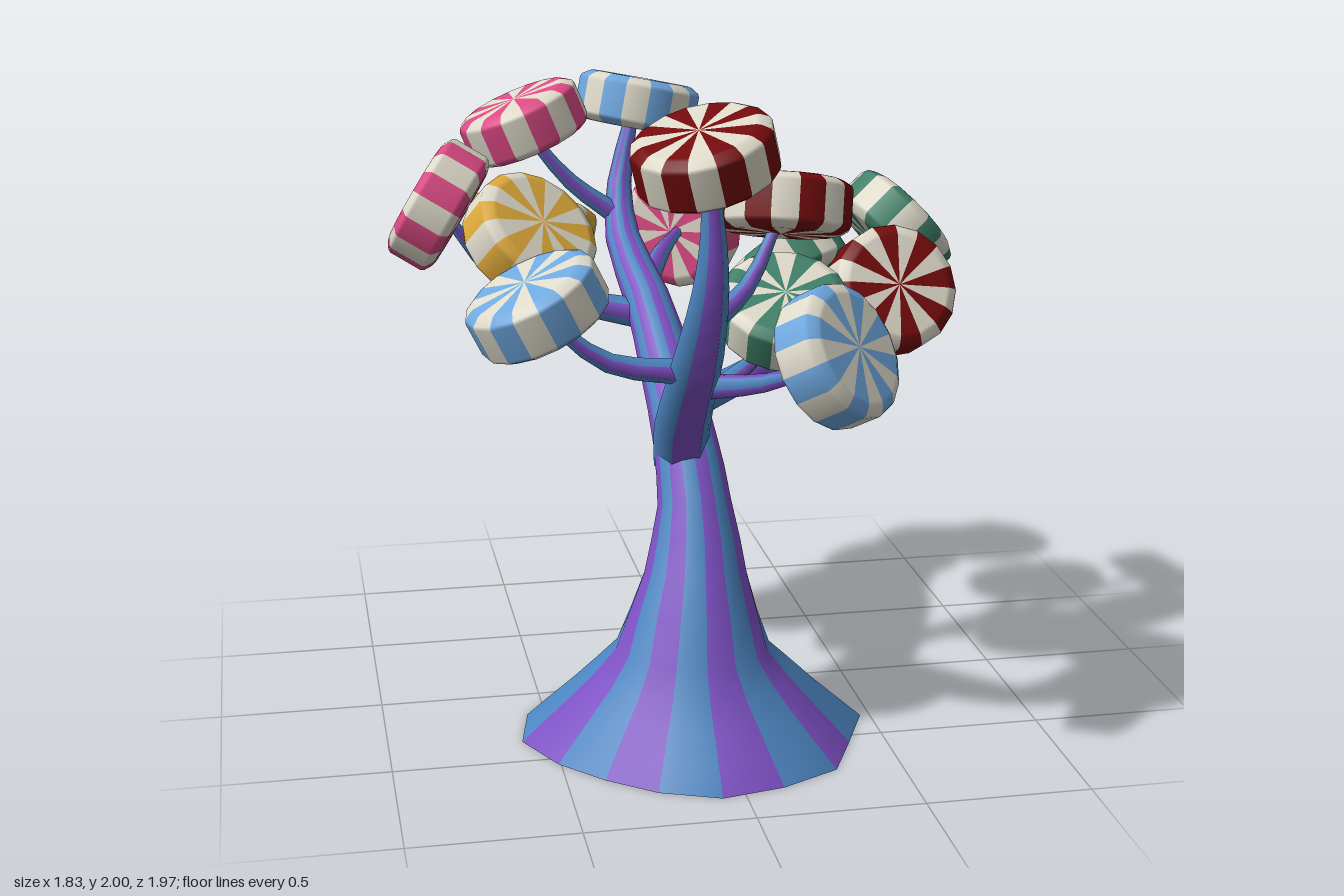
import * as THREE from 'three';

const mat = (name, color, side = THREE.FrontSide) => {
  const m = new THREE.MeshStandardMaterial({ color, side });
  m.name = name;
  return m;
};

// Uneven outline of the trunk's foot: one radius factor per side, starting at +x towards +z
const footOutline = [1.05, 0.96, 1.02, 0.97, 0.97, 0.9, 0.87, 0.92, 1.02, 1.02, 0.98, 0.93, 0.97, 1.0, 1.09, 0.99];

// Striped limb: rings swept along [x, y, z, radius] points, each column of faces one stripe
function limbGeometry(points, sides, steps, flare) {
  const curve = new THREE.CatmullRomCurve3(points.map((p) => new THREE.Vector3(p[0], p[1], p[2])));
  const rings = (points.length - 1) * steps;
  const up = new THREE.Vector3(0, 1, 0);
  const q = new THREE.Quaternion();
  const pos = [];
  const index = [];
  for (let i = 0; i <= rings; i++) {
    const t = i / rings;
    const k = Math.min(Math.floor(i / steps), points.length - 2);
    const r = THREE.MathUtils.lerp(points[k][3], points[k + 1][3], i / steps - k);
    const c = curve.getPoint(t);
    const tangent = curve.getTangent(t);
    // The flared foot keeps its first rings level with the ground
    if (flare) tangent.lerp(up, Math.max(0, 1 - c.y / 0.6)).normalize();
    q.setFromUnitVectors(up, tangent);
    for (let j = 0; j < sides; j++) {
      const a = (j / sides) * Math.PI * 2;
      const lobe = flare ? THREE.MathUtils.lerp(1, footOutline[j], Math.max(0, 1 - c.y / 0.4)) : 1;
      const v = new THREE.Vector3(Math.cos(a) * r * lobe, 0, Math.sin(a) * r * lobe);
      v.applyQuaternion(q).add(c);
      pos.push(v.x, flare && i === 0 ? 0 : v.y, v.z);
    }
  }
  const g = new THREE.BufferGeometry();
  for (let j = 0; j < sides; j++) {
    g.addGroup(index.length, rings * 6, j % 2);
    for (let i = 0; i < rings; i++) {
      const a = i * sides + j;
      const b = i * sides + ((j + 1) % sides);
      index.push(a, a + sides, b, b, a + sides, b + sides);
    }
  }
  g.setAttribute('position', new THREE.Float32BufferAttribute(pos, 3));
  g.setIndex(index);
  g.computeVertexNormals();
  return g;
}

// Round sweet: flat-rimmed disc with alternating wedges running over faces and rim
function candyGeometry() {
  const profile = [
    [0, -0.083], [0.16, -0.081], [0.172, -0.078], [0.197, -0.063], [0.202, -0.052],
    [0.202, 0.052], [0.197, 0.063], [0.172, 0.078], [0.16, 0.081], [0, 0.083],
  ];
  const wedges = 16;
  const g = new THREE.LatheGeometry(profile.map((p) => new THREE.Vector2(p[0], p[1])), wedges);
  const count = (profile.length - 1) * 6;
  g.clearGroups();
  for (let i = 0; i < wedges; i++) g.addGroup(i * count, count, i % 2);
  return g;
}

export function createModel() {
  const model = new THREE.Group();
  model.name = 'candyTree';

  const bark = [
    mat('barkBlue', 0x4d86c2, THREE.DoubleSide),
    mat('barkPurple', 0x7d50c4, THREE.DoubleSide),
  ];
  const cream = mat('cream', 0xdedaca);
  const colours = {
    red: mat('darkRed', 0x740a0c),
    blue: mat('skyBlue', 0x6fa8e0),
    green: mat('green', 0x3f8068),
    pink: mat('pink', 0xdc4a84),
    yellow: mat('yellow', 0xdfaa3a),
  };

  const limb = (name, points, sides = 6, steps = 3, flare = false) => {
    const mesh = new THREE.Mesh(limbGeometry(points, sides, steps, flare), bark);
    mesh.name = name;
    model.add(mesh);
  };

  // Trunk, leaning backwards and running on into the rear bough
  limb('trunk', [
    [-0.07, 0, 0.36, 0.515], [-0.07, 0.15, 0.375, 0.365], [-0.07, 0.29, 0.385, 0.235],
    [-0.05, 0.5, 0.33, 0.16], [-0.04, 0.7, 0.26, 0.115], [-0.05, 0.87, 0.16, 0.1],
    [-0.07, 1.05, -0.03, 0.088], [-0.1, 1.23, -0.23, 0.073], [-0.14, 1.38, -0.46, 0.057],
    [-0.13, 1.54, -0.59, 0.04], [-0.08, 1.75, -0.64, 0.022],
  ], 16, 2, true);

  // Front bough
  limb('frontBough', [
    [-0.06, 0.8, 0.14, 0.085], [-0.085, 0.98, 0.31, 0.088], [-0.09, 1.25, 0.58, 0.075],
    [-0.085, 1.48, 0.73, 0.053], [-0.085, 1.65, 0.765, 0.036], [-0.1, 1.83, 0.77, 0.022],
  ], 6);

  // Side boughs
  limb('leftBough', [
    [-0.05, 0.95, 0.07, 0.055], [0.25, 1.04, -0.07, 0.045], [0.5, 1.16, -0.18, 0.033], [0.72, 1.38, -0.3, 0.016],
  ]);
  limb('rightBough', [
    [-0.08, 1.18, -0.2, 0.05], [-0.32, 1.23, -0.24, 0.04], [-0.58, 1.34, -0.21, 0.028], [-0.74, 1.54, -0.18, 0.015],
  ]);

  // Twigs that carry the remaining sweets
  const twigs = [
    [[-0.08, 1.36, 0.65, 0.035], [0.05, 1.45, 0.58, 0.026], [0.17, 1.63, 0.47, 0.014]],
    [[-0.07, 1.13, 0.47, 0.04], [0.1, 1.17, 0.6, 0.028], [0.25, 1.26, 0.74, 0.016]],
    [[-0.09, 1.19, 0.52, 0.042], [-0.34, 1.23, 0.52, 0.03], [-0.53, 1.38, 0.53, 0.016]],
    [[0.08, 0.99, 0.01, 0.035], [0.2, 1.1, 0.05, 0.025], [0.265, 1.24, 0.12, 0.016]],
    [[0.28, 1.05, -0.09, 0.035], [0.36, 1.13, -0.22, 0.025], [0.385, 1.28, -0.34, 0.016]],
    [[0.47, 1.14, -0.17, 0.03], [0.58, 1.2, -0.13, 0.022], [0.63, 1.26, -0.02, 0.016]],
    [[-0.1, 1.26, -0.28, 0.04], [0, 1.32, -0.52, 0.028], [0.11, 1.34, -0.78, 0.016]],
    [[-0.14, 1.44, -0.52, 0.035], [-0.3, 1.56, -0.53, 0.026], [-0.45, 1.74, -0.53, 0.016]],
    [[-0.32, 1.23, -0.24, 0.03], [-0.42, 1.3, -0.33, 0.022], [-0.44, 1.43, -0.38, 0.016]],
    [[-0.5, 1.3, -0.22, 0.03], [-0.54, 1.38, -0.1, 0.022], [-0.5, 1.48, 0.03, 0.016]],
  ];
  twigs.forEach((points, i) => limb('twig' + (i + 1), points));

  // Sweets: colour, centre, direction of the disc's axis
  const sweets = [
    ['red', [-0.11, 1.865, 0.775], [-0.27, 1, 0.24]],
    ['red', [0.18, 1.66, 0.465], [0.12, 1, -0.3]],
    ['red', [0.64, 1.275, -0.01], [0.12, 0.45, 0.88]],
    ['blue', [0.27, 1.285, 0.77], [0.58, 0.45, 0.6]],
    ['blue', [-0.545, 1.41, 0.53], [-0.44, 0.89, 0.1]],
    ['blue', [-0.06, 1.795, -0.645], [0.2, 0.97, -0.1]],
    ['green', [0.265, 1.26, 0.125], [-0.05, 0.82, 0.5]],
    ['green', [0.385, 1.285, -0.345], [-0.42, 0.7, -0.47]],
    ['green', [0.735, 1.415, -0.315], [0.71, 0.64, -0.1]],
    ['pink', [0.12, 1.34, -0.805], [0.65, 0.05, -0.75]],
    ['pink', [-0.45, 1.76, -0.53], [-0.38, 0.92, 0]],
    ['pink', [-0.76, 1.57, -0.18], [-0.82, 0.5, -0.2]],
    ['yellow', [-0.445, 1.45, -0.38], [0.25, 0.92, -0.35]],
    ['yellow', [-0.505, 1.505, 0.045], [0.42, 0.66, 0.55]],
  ];
  const candy = candyGeometry();
  const up = new THREE.Vector3(0, 1, 0);
  sweets.forEach(([colour, centre, axis], i) => {
    const mesh = new THREE.Mesh(candy, [colours[colour], cream]);
    mesh.name = colour + 'Sweet' + (i + 1);
    mesh.position.set(...centre);
    mesh.quaternion.setFromUnitVectors(up, new THREE.Vector3(...axis).normalize());
    model.add(mesh);
  });

  return model;
}
